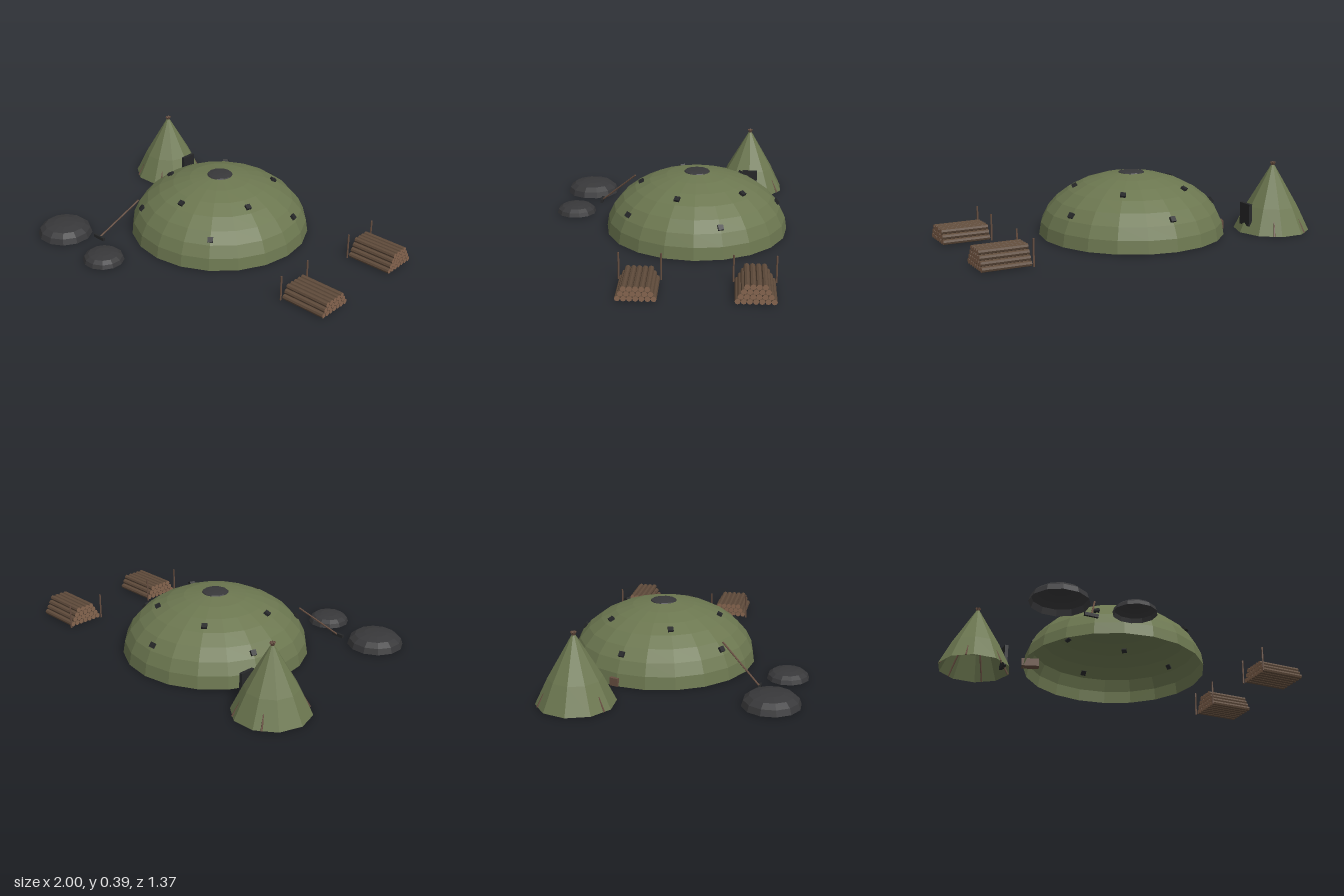
import * as THREE from 'three';

const flat = (name, color, side = THREE.FrontSide) => {
  const m = new THREE.MeshStandardMaterial({ color, side, flatShading: true });
  m.name = name;
  return m;
};

export function createModel() {
  const olive = flat('olive canvas', 0x6c7750, THREE.DoubleSide);
  const charcoal = flat('charcoal cover', 0x38383a, THREE.DoubleSide);
  const black = flat('black fittings', 0x262729);
  const wood = flat('brown wood', 0x664e40);
  const bark = flat('log bark', 0x5e4a3a);
  const cut = flat('log cut end', 0x86654f);

  const root = new THREE.Group();
  root.name = 'camp';
  const group = (name, x = 0, y = 0, z = 0) => {
    const g = new THREE.Group();
    g.name = name;
    g.position.set(x, y, z);
    root.add(g);
    return g;
  };
  const add = (parent, name, geometry, material, x = 0, y = 0, z = 0) => {
    const m = new THREE.Mesh(geometry, material);
    m.name = name;
    m.position.set(x, y, z);
    parent.add(m);
    return m;
  };
  const lathe = (pts, sides, start = 0) =>
    new THREE.LatheGeometry(pts.map(([r, y]) => new THREE.Vector2(r, y)), sides, start);
  // Round stick between two points
  const stick = (parent, name, a, b, r, material) => {
    const from = new THREE.Vector3(...a), to = new THREE.Vector3(...b);
    const dir = to.clone().sub(from);
    const m = add(parent, name, new THREE.CylinderGeometry(r, r, dir.length(), 6), material);
    m.position.copy(from).add(to).multiplyScalar(0.5);
    m.quaternion.setFromUnitVectors(new THREE.Vector3(0, 1, 0), dir.normalize());
  };

  // Large dome tent: open squashed hemisphere with a covered smoke hole
  const R = 0.522, H = 0.342;
  const dome = group('domeTent', -0.05, 0, -0.167);
  const profile = [];
  for (let i = 0; i <= 7; i++) {
    const a = (i / 7) * 1.43;
    profile.push([R * Math.cos(a), H * Math.sin(a)]);
  }
  add(dome, 'domeShell', lathe(profile, 20), olive);
  add(dome, 'domeCap', lathe([[0.076, 0.333], [0.07, 0.343], [0.04, 0.348], [0, 0.349]], 12), charcoal);

  // Two staggered rings of square studs lying on the shell
  const rings = [{ r: 0.32, offset: 0 }, { r: 0.46, offset: Math.PI / 5 }];
  for (const { r, offset } of rings) {
    const y = H * Math.sqrt(1 - (r / R) ** 2);
    const tilt = Math.atan2(r / (R * R), y / (H * H));
    for (let i = 0; i < 5; i++) {
      const a = offset + (i * Math.PI * 2) / 5;
      const stud = add(dome, 'stud', new THREE.BoxGeometry(0.03, 0.022, 0.03), black,
        r * Math.sin(a), y, r * Math.cos(a));
      stud.rotation.set(tilt, a, 0, 'YXZ');
    }
  }

  // Small chest on the floor, poking out through the wall
  const chest = add(dome, 'chest', new THREE.BoxGeometry(0.1, 0.045, 0.05), wood, -0.453, 0.024, -0.16);
  chest.rotation.y = -0.34;

  // Pointed tent with six poles and a door panel
  const tent = group('pointedTent', -0.788, 0, -0.482);
  add(tent, 'tentCover', lathe([[0.211, 0], [0.143, 0.14], [0.01, 0.368]], 10, Math.PI / 2), olive);
  for (let i = 0; i < 6; i++) {
    const a = (i * Math.PI) / 3, c = Math.cos(a), s = Math.sin(a);
    stick(tent, 'tentPole', [c * 0.204, 0, s * 0.204], [-c * 0.013, 0.386, -s * 0.013], 0.005, wood);
  }
  add(tent, 'doorPanel', new THREE.BoxGeometry(0.02, 0.125, 0.09), black, 0.174, 0.102, 0);

  // Low covered mounds
  const mound = (x, z, r, h) => {
    const g = group('mound', x, 0, z);
    const pts = [[1, 0], [0.93, 0.45], [0.74, 0.78], [0.4, 0.95], [0, 1]];
    add(g, 'moundCover', lathe(pts.map(([a, b]) => [a * r, b * h]), 12, Math.PI / 12), charcoal);
  };
  mound(-0.655, 0.515, 0.158, 0.074);
  mound(-0.262, 0.567, 0.117, 0.052);

  // Long-handled tool leaning on the dome
  const tool = group('leaningTool');
  stick(tool, 'handle', [-0.445, 0.015, 0.43], [-0.338, 0.212, 0.215], 0.005, wood);
  add(tool, 'head', new THREE.BoxGeometry(0.078, 0.018, 0.014), black, -0.448, 0.012, 0.433);

  // Stacked logs held by two posts
  const logR = 0.015;
  const logGeometry = new THREE.CylinderGeometry(logR, logR, 0.264, 8);
  logGeometry.rotateZ(Math.PI / 2);
  const woodpile = (z, rows) => {
    const g = group('woodpile', 0.868, 0, z);
    for (let row = 0; row < rows; row++) {
      const n = 7 - row;
      for (let i = 0; i < n; i++) {
        add(g, 'log', logGeometry, [bark, cut, cut],
          0, logR + row * logR * 1.732, (i - (n - 1) / 2) * logR * 2);
      }
    }
    for (const s of [-1, 1]) {
      stick(g, 'post', [-0.138, 0, s * 0.11], [-0.138, 0.147, s * 0.11], 0.005, wood);
    }
  };
  woodpile(0.098, 3);
  woodpile(-0.492, 4);

  return root;
}
